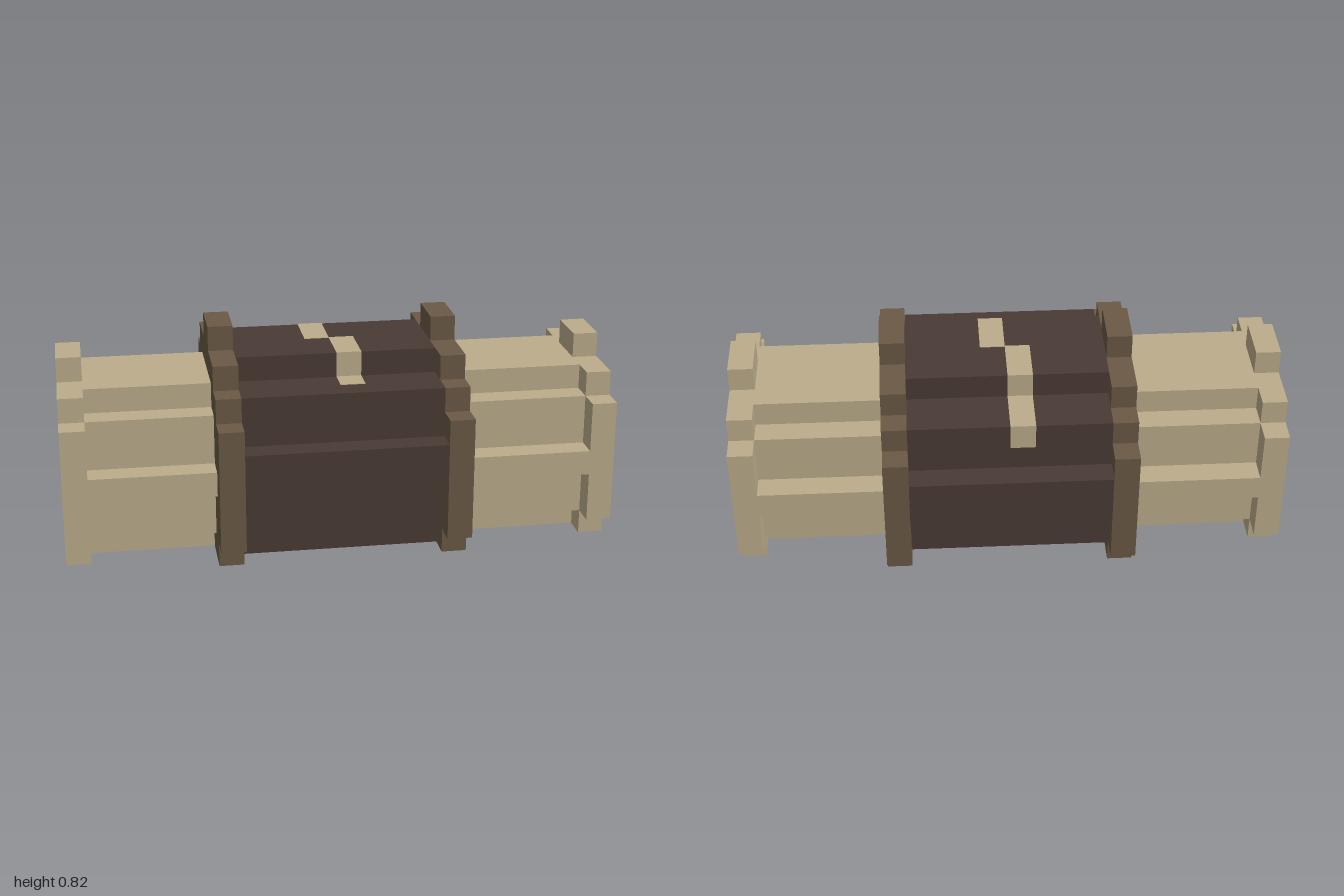
import * as THREE from 'three';

const U = 1 / 11; // one block

// Stepped, mirrored cross-section from [top, halfWidth] rows, bottom to top
function steppedShape(rows) {
  const right = [];
  let y = 0;
  for (const [top, half] of rows) {
    right.push([half, y], [half, top]);
    y = top;
  }
  const left = right.map(([z, h]) => [-z, h]).reverse();
  return new THREE.Shape([...right, ...left].map(([z, h]) => new THREE.Vector2(z * U, h * U)));
}

// Extrude a cross-section along x between x0 and x1 (in blocks)
function prism(name, shape, x0, x1, material) {
  const geo = new THREE.ExtrudeGeometry(shape, { depth: (x1 - x0) * U, bevelEnabled: false });
  geo.rotateY(Math.PI / 2).translate(x0 * U, 0, 0);
  const mesh = new THREE.Mesh(geo, material);
  mesh.name = name;
  return mesh;
}

export function createModel() {
  const group = new THREE.Group();
  group.name = 'barrel';
  const make = (name, color) => {
    const m = new THREE.MeshStandardMaterial({ color });
    m.name = name;
    return m;
  };
  const tan = make('tan', 0xbbac8b);
  const brown = make('brown', 0x6a5945);
  const dark = make('darkBrown', 0x493a34);

  const coreShape = steppedShape([[1, 3], [3, 4], [5, 5], [7, 4], [8, 2]]);
  const ringShape = steppedShape([[1, 4], [6, 5], [7, 4], [8, 3], [9, 1]]);
  const armShape = steppedShape([[1, 2], [3, 3], [4, 4], [6, 3], [7, 2]]);
  const capShape = steppedShape([[1, 3], [6, 4], [7, 3], [8, 1]]);

  // Plus-shaped socket in the end caps
  const plus = [[1, 2], [1, 3], [2, 3], [2, 4], [1, 4], [1, 5], [-1, 5], [-1, 4], [-2, 4], [-2, 3], [-1, 3], [-1, 2]];
  capShape.holes.push(new THREE.Path(plus.map(([z, y]) => new THREE.Vector2(z * U, y * U))));

  group.add(prism('core', coreShape, -4, 4, dark));

  // Rings, arms and caps on both sides
  for (const [side, s] of [['left', 1], ['right', -1]]) {
    const add = (part, shape, a, b, mat) =>
      group.add(prism(side + part, shape, Math.min(s * a, s * b), Math.max(s * a, s * b), mat));
    add('Ring', ringShape, 4, 5, brown);
    add('Arm', armShape, 5, 10, tan);
    add('Cap', capShape, 10, 11, tan);
  }

  // Zigzag inlay: thin plates following the steps of the core
  const t = 0.004;
  const inlay = new THREE.Group();
  inlay.name = 'zigzagInlay';
  const plate = (x0, x1, y0, y1, z0, z1) => {
    const geo = new THREE.BoxGeometry((x1 - x0) * U, (y1 - y0) * U + t, (z1 - z0) * U + t);
    geo.translate((x0 + x1) / 2 * U, (y0 + y1) / 2 * U, (z0 + z1) / 2 * U);
    const mesh = new THREE.Mesh(geo, tan);
    mesh.name = 'inlayPlate';
    inlay.add(mesh);
  };
  plate(0, 1, 8, 8, 0, 2);
  plate(0, 1, 7, 8, 2, 2);
  plate(0, 1, 7, 7, 2, 3);
  plate(-1, 0, 8, 8, -2, 0);
  plate(-1, 0, 7, 8, -2, -2);
  plate(-1, 0, 7, 7, -4, -2);
  plate(-1, 0, 6, 7, -4, -4);
  group.add(inlay);

  return group;
}
